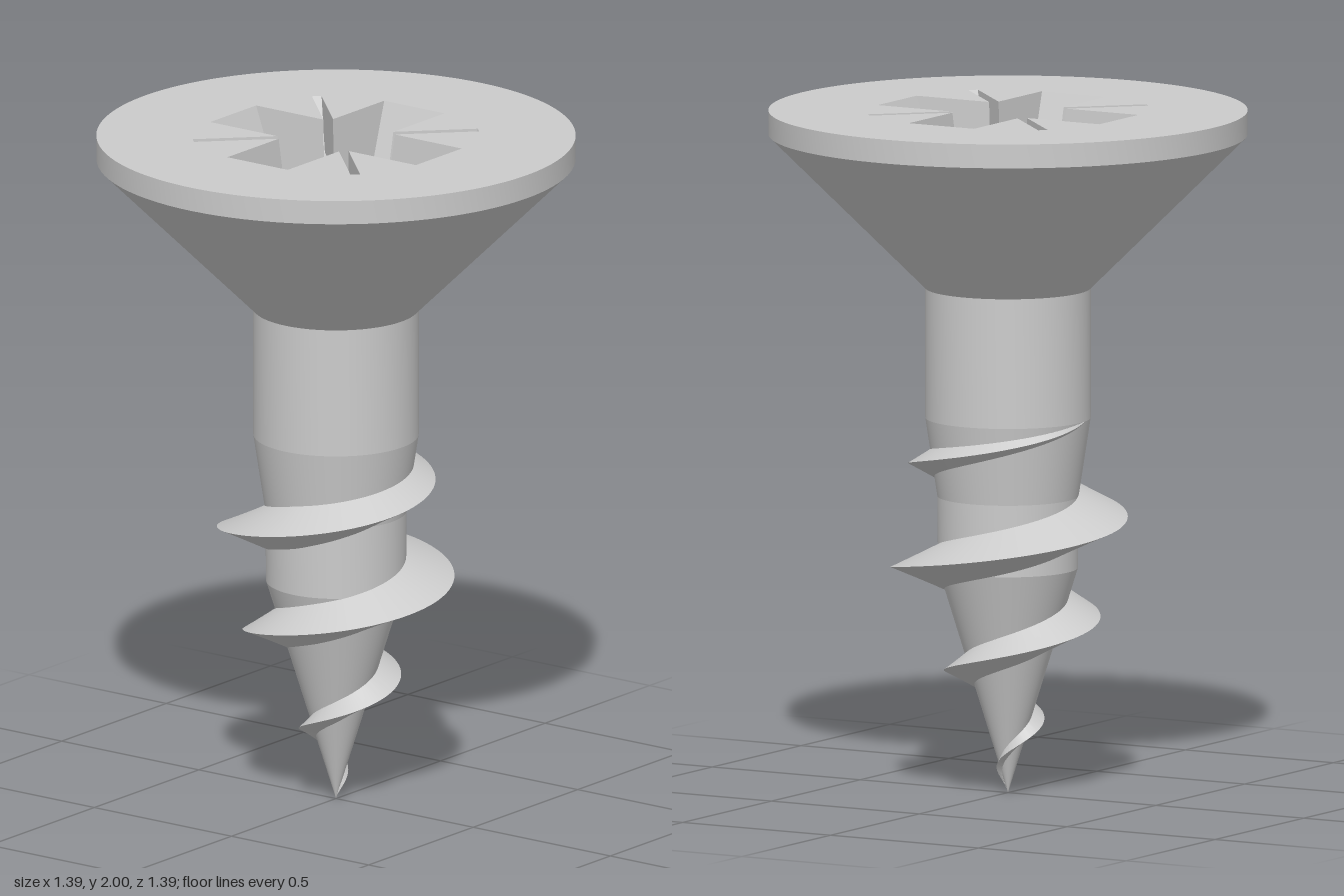
import * as THREE from 'three';
import { toCreasedNormals } from 'three/addons/utils/BufferGeometryUtils.js';

const SEG = 96;
const TOP = 2, HEAD_R = 0.695;
const FLOOR = 1.55;                       // recess floor height
const ARM = 0.375, HALF = 0.11;           // cross arm reach and half width at the top
const ARM_F = 0.18, HALF_F = 0.072;       // the same at the floor
const DIP_R = 0.13;                       // drill dip radius
const SLOT_D = 0.15, SLOT_W = 0.02, SLOT_L = 0.175;

// Linear interpolation in a list of [y, radius] pairs
function lookup(table, y) {
  if (y <= table[0][0]) return table[0][1];
  for (let i = 1; i < table.length; i++) {
    const [y0, r0] = table[i - 1], [y1, r1] = table[i];
    if (y <= y1) return r0 + (r1 - r0) * (y - y0) / (y1 - y0);
  }
  return table[table.length - 1][1];
}

const CORE = [[0, 0], [0.66, 0.203], [0.87, 0.205], [1.1, 0.24], [1.48, 0.24]];
const HEAD = [[1.48, 0.24], [1.93, HEAD_R], [TOP, HEAD_R]];
const CREST = [[0, 0], [0.1, 0.05], [0.18, 0.09], [0.33, 0.17], [0.485, 0.255], [0.64, 0.335],
  [0.71, 0.357], [0.79, 0.355], [0.865, 0.33], [0.94, 0.3], [1.02, 0.27], [1.08, 0.247], [1.12, 0.234]];

function turned(profile) {
  const pts = profile.map(([y, r]) => new THREE.Vector2(r, y));
  return toCreasedNormals(new THREE.LatheGeometry(pts, SEG), 0.1);
}

// Helical thread: a triangular section swept up the tapering core
function threadGeometry() {
  const pitch = 0.305, y0 = 0.02, y1 = 1.12, steps = 300;
  const pos = [], idx = [];
  for (let i = 0; i <= steps; i++) {
    const y = y0 + (y1 - y0) * i / steps;
    const a = (0.33 - y) / pitch * Math.PI * 2;
    const crest = lookup(CREST, y);
    const rise = Math.max(0, crest - lookup(CORE, y));
    const h = Math.min(0.068, 0.012 + 0.45 * rise);
    const root = (yy) => Math.max(0, lookup(CORE, yy) - 0.006);
    for (const [r, yy] of [[root(y - h), y - h], [crest, y], [root(y + h), y + h]]) {
      pos.push(r * Math.cos(a), Math.max(0, yy), r * Math.sin(a));
    }
    if (i < steps) {
      for (let k = 0; k < 2; k++) {
        const a0 = i * 3 + k, b0 = a0 + 1, a1 = a0 + 3, b1 = a0 + 4;
        idx.push(a0, a1, b0, b0, a1, b1);
      }
    }
  }
  const g = new THREE.BufferGeometry();
  g.setAttribute('position', new THREE.Float32BufferAttribute(pos, 3));
  g.setIndex(idx);
  return toCreasedNormals(g, 0.6);
}

// Outline of the recess at the head's top: cross arms with a thin slot on each diagonal
function recessOutline() {
  const m = HALF + SLOT_W, e = m + SLOT_L, f = HALF + SLOT_L;
  const quarter = [[ARM, -HALF], [ARM, HALF], [m, HALF], [e, f], [f, e], [HALF, m]];
  const out = [];
  for (let q = 0; q < 4; q++) {
    const c = Math.round(Math.cos(q * Math.PI / 2)), s = Math.round(Math.sin(q * Math.PI / 2));
    for (const [x, y] of quarter) out.push(new THREE.Vector2(c * x - s * y, s * x + c * y));
  }
  return out;
}

// One quarter of the recess: an arm along +x and the slot between +x and +z
function recessQuarter() {
  const pos = [];
  const poly = (...p) => {
    for (let i = 1; i < p.length - 1; i++) pos.push(...p[0], ...p[i], ...p[i + 1]);
  };
  const mirrorZ = (p) => [p[0], p[1], -p[2]];
  const swap = (p) => [p[2], p[1], p[0]];
  const ys = TOP - SLOT_D;
  const k = HALF - (HALF - HALF_F) * SLOT_D / (TOP - FLOOR);
  const B = [ARM, TOP, HALF], Bf = [ARM_F, FLOOR, HALF_F];
  const C = [HALF + SLOT_W, TOP, HALF], C1 = [k + SLOT_W, ys, k];
  const D = [C[0] + SLOT_L, TOP, HALF + SLOT_L];
  const D1 = [D[0] - 0.05, ys, D[2] - 0.05];
  const K = [k, ys, k], Kf = [HALF_F, FLOOR, HALF_F];
  const [E, E1, F, F1] = [D, D1, C, C1].map(swap);

  // arm end and side walls
  poly(mirrorZ(B), mirrorZ(Bf), Bf, B);
  const side = [Bf, Kf, K, C1, C, B];
  poly(...side);
  const other = side.map(mirrorZ);
  poly(other[0], ...other.slice(1).reverse());
  // slot walls, end and floor
  poly(C, C1, D1, D);
  poly(F, E, E1, F1);
  poly(D, D1, E1, E);
  poly(K, F1, E1, D1, C1);
  // arm floor up to the round dip
  const half = Math.asin(HALF_F / DIP_R), n = 8;
  for (let i = 0; i < n; i++) {
    const [p, q] = [i, i + 1].map((j) => {
      const a = -half + 2 * half * j / n;
      return [DIP_R * Math.cos(a), FLOOR, DIP_R * Math.sin(a)];
    });
    poly(p, q, [ARM_F, FLOOR, q[2]], [ARM_F, FLOOR, p[2]]);
  }
  const g = new THREE.BufferGeometry();
  g.setAttribute('position', new THREE.Float32BufferAttribute(pos, 3));
  g.computeVertexNormals();
  return g;
}

export function createModel() {
  const model = new THREE.Group();
  model.name = 'countersunkScrew';
  const steel = new THREE.MeshStandardMaterial({ color: 0xcccccc });
  const steelThin = new THREE.MeshStandardMaterial({ color: 0xcccccc, side: THREE.DoubleSide });
  const add = (name, geometry, material = steel, parent = model) => {
    const mesh = new THREE.Mesh(geometry, material);
    mesh.name = name;
    parent.add(mesh);
    return mesh;
  };

  add('shank', turned(CORE));
  add('head', turned(HEAD));
  add('thread', threadGeometry(), steelThin);

  // flat top of the head, pierced by the recess
  const disc = new THREE.Shape();
  disc.absarc(0, 0, HEAD_R, 0, Math.PI * 2, false);
  disc.holes.push(new THREE.Path(recessOutline()));
  const face = new THREE.ShapeGeometry(disc, SEG);
  face.rotateX(-Math.PI / 2);
  face.translate(0, TOP, 0);
  add('headFace', face, steelThin);

  // driver recess
  const recess = new THREE.Group();
  recess.name = 'driverRecess';
  const quarter = recessQuarter();
  for (let q = 0; q < 4; q++) {
    add('recessArm', quarter, steelThin, recess).rotation.y = q * Math.PI / 2;
  }
  add('recessDip', turned([[FLOOR - 0.06, 0], [FLOOR, DIP_R]]), steelThin, recess);
  model.add(recess);
  return model;
}
